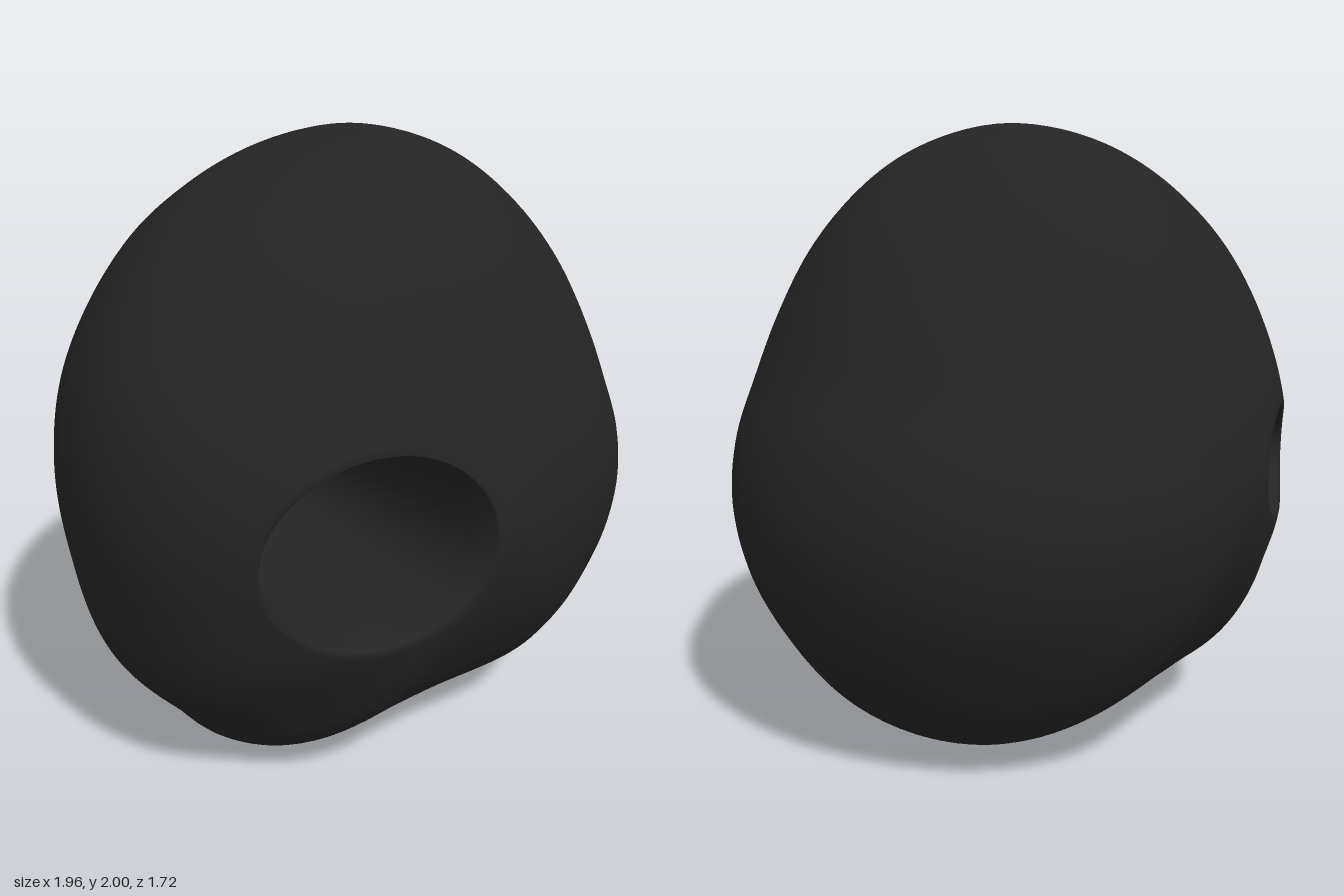
import * as THREE from 'three';

const COLS = 180, SKIN = 36, BORE = 40;
const V3 = (x, y, z) => new THREE.Vector3(x, y, z);
const CENTER = { x: 0, y: 0.92 };

// Uneven pebble silhouette, clockwise seen from the front
const outline = new THREE.CatmullRomCurve3([
  [-0.98, 1.0], [-0.93, 1.3], [-0.8, 1.55], [-0.6, 1.77], [-0.4, 1.89], [-0.2, 1.965],
  [0, 2], [0.15, 1.998], [0.35, 1.94], [0.5, 1.84], [0.63, 1.7], [0.75, 1.49],
  [0.85, 1.26], [0.94, 1.04], [0.975, 0.8], [0.93, 0.55], [0.82, 0.33], [0.7, 0.17],
  [0.55, 0.06], [0.42, 0.012], [0, 0.003], [-0.25, 0.003], [-0.48, 0.01], [-0.6, 0.075],
  [-0.69, 0.18], [-0.87, 0.41], [-0.95, 0.7],
].map(([x, y]) => V3(x, y, 0)), true);

// Silhouette radius by direction from the centre
const table = outline.getPoints(2400).slice(0, -1).map((p) => ({
  a: Math.atan2(p.y - CENTER.y, p.x), r: Math.hypot(p.x, p.y - CENTER.y),
})).sort((p, q) => p.a - q.a);

function radiusAt(angle) {
  let lo = 0, hi = table.length - 1;
  if (angle <= table[0].a) return table[0].r;
  if (angle >= table[hi].a) return table[hi].r;
  while (hi - lo > 1) {
    const mid = (lo + hi) >> 1;
    if (table[mid].a <= angle) lo = mid; else hi = mid;
  }
  const p = table[lo], q = table[hi];
  return p.r + (q.r - p.r) * (angle - p.a) / (q.a - p.a || 1);
}

// Depth of the rounded skin at a point; side is +1 for front and -1 for back
function skinZ(x, y, side, onEdge = false) {
  const angle = Math.atan2(y - CENTER.y, x), c = Math.cos(angle);
  const rho = onEdge ? 1 : Math.min(1, Math.hypot(x, y - CENTER.y) / radiusAt(angle));
  const power = 1.75 + 0.4 * c + 0.4 * c * c;
  const shift = (0.02 + 0.025 * c + 0.055 * c * c) * rho * rho;
  return shift + side * 0.86 * Math.sqrt(Math.max(0, 1 - rho ** power));
}

// Oval sections of the hole
const FRONT = { x: -0.42, y: 0.915, rx: 0.33, ry: 0.31 };
const THROAT = { x: -0.345, y: 0.935, rx: 0.195, ry: 0.135 };
const BACK = { x: -0.335, y: 0.935, rx: 0.25, ry: 0.185 };
const onOval = (o, a, k = 1) => V3(o.x + o.rx * k * Math.cos(a), o.y + o.ry * k * Math.sin(a), 0);

function holedBody() {
  const rows = SKIN * 2 + BORE, positions = [], index = [];
  const rim = outline.getSpacedPoints(COLS).slice(0, COLS);

  for (const edge of rim) {
    const a = Math.atan2(edge.y - FRONT.y, edge.x - FRONT.x);
    const front = onOval(FRONT, a), back = onOval(BACK, a);
    front.z = skinZ(front.x, front.y, 1);
    back.z = skinZ(back.x, back.y, -1);

    // Front skin from hole to silhouette, then back skin from silhouette to hole
    for (let i = 0; i < SKIN * 2; i++) {
      const side = i <= SKIN ? 1 : -1;
      const s = Math.sin((side > 0 ? i : SKIN * 2 - i) / SKIN * Math.PI / 2);
      const p = (side > 0 ? front : back).clone().lerp(edge, s);
      positions.push(p.x, p.y, skinZ(p.x, p.y, side, i === SKIN));
    }

    // Tapered bore with softened lips, running from back to front
    const backLip = onOval(BACK, a, 0.9).setZ(back.z + 0.06);
    const throat = onOval(THROAT, a).setZ(-0.42);
    const frontLip = onOval(FRONT, a, 0.92).setZ(front.z - 0.09);
    const middle = throat.clone().lerp(frontLip, 0.5);
    const bore = new THREE.CatmullRomCurve3([back, backLip, throat, middle, frontLip, front]);
    for (let i = 0; i < BORE; i++) {
      const p = bore.getPoint(i / BORE);
      positions.push(p.x, p.y, p.z);
    }
  }

  // Closed grid in both directions
  for (let j = 0; j < COLS; j++) {
    for (let i = 0; i < rows; i++) {
      const j2 = (j + 1) % COLS, i2 = (i + 1) % rows;
      const a = j * rows + i, b = j2 * rows + i, c = j * rows + i2, d = j2 * rows + i2;
      index.push(a, b, c, b, d, c);
    }
  }
  const geometry = new THREE.BufferGeometry();
  geometry.setAttribute('position', new THREE.Float32BufferAttribute(positions, 3));
  geometry.setIndex(index);
  geometry.computeVertexNormals();
  return geometry;
}

export function createModel() {
  const group = new THREE.Group();
  group.name = 'holedStone';
  const charcoal = new THREE.MeshStandardMaterial({ color: 0x242424 });
  charcoal.name = 'charcoal';
  const body = new THREE.Mesh(holedBody(), charcoal);
  body.name = 'stoneBody';
  group.add(body);
  return group;
}
